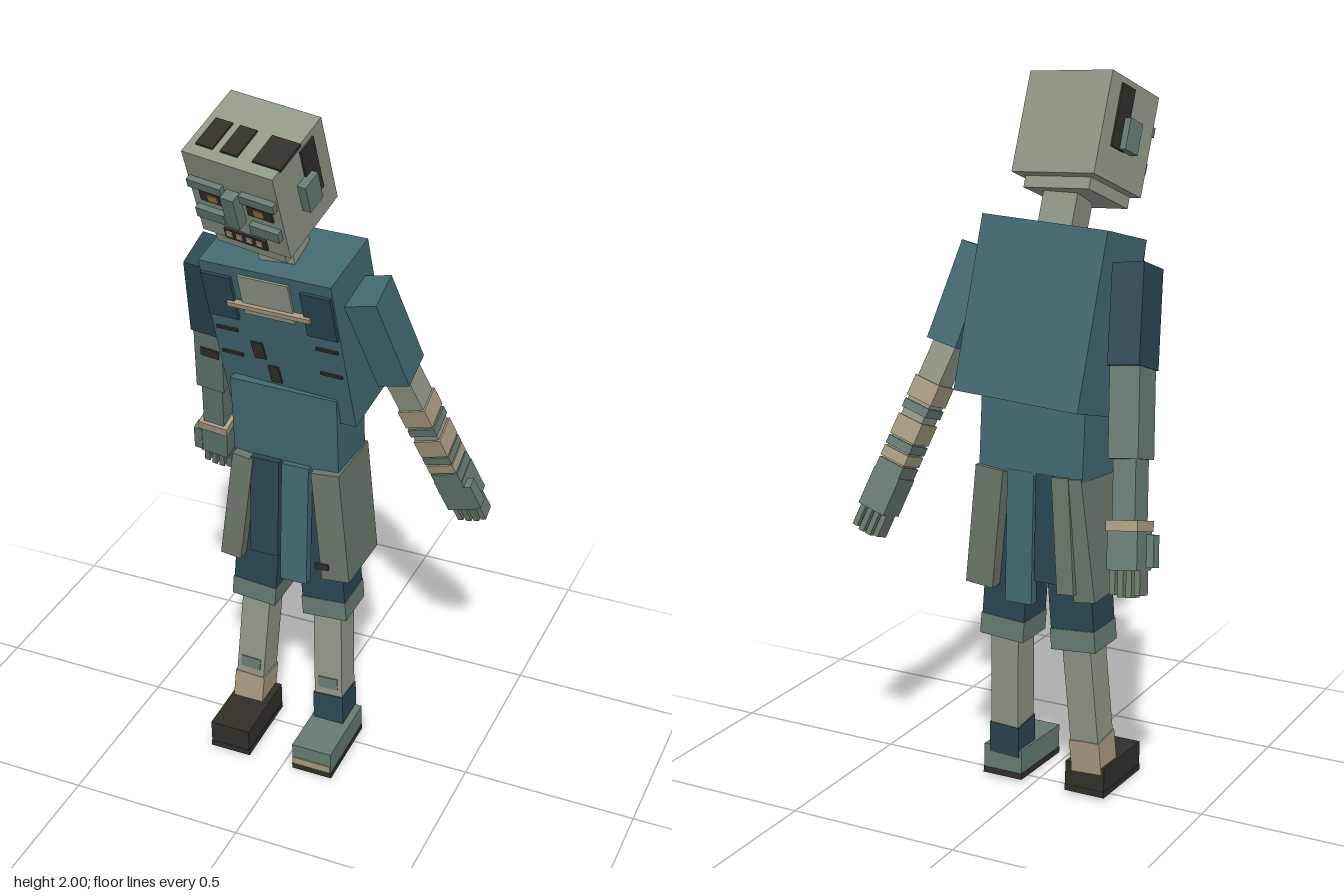
import * as THREE from 'three';

const material = (name, color) => {
  const m = new THREE.MeshStandardMaterial({ color });
  m.name = name;
  return m;
};
const skin = material('pale skin', 0x8f9787);
const teal = material('teal cloth', 0x41686f);
const dark = material('dark teal cloth', 0x294650);
const grey = material('grey green', 0x667a72);
const cloth = material('worn cloth', 0x6a7669);
const beige = material('beige wrap', 0xa89a80);
const black = material('near black', 0x302e27);
const amber = material('amber', 0x9a7440);

function box(parent, name, mat, size, pos, rot = [0, 0, 0]) {
  const mesh = new THREE.Mesh(new THREE.BoxGeometry(...size), mat);
  mesh.name = name;
  mesh.position.set(...pos);
  mesh.rotation.set(...rot);
  parent.add(mesh);
  return mesh;
}

// Posed group: pitch, yaw and roll in radians
function posed(parent, name, pos, pitch, yaw, roll) {
  const g = new THREE.Group();
  g.name = name;
  g.position.set(...pos);
  g.rotation.set(pitch, yaw, roll, 'YXZ');
  parent.add(g);
  return g;
}

// Group at a joint whose -y axis runs toward the next joint
function limb(parent, name, from, to) {
  const a = new THREE.Vector3(...from);
  const dir = new THREE.Vector3(...to).sub(a);
  const g = new THREE.Group();
  g.name = name;
  g.position.copy(a);
  g.userData.length = dir.length();
  g.quaternion.setFromUnitVectors(new THREE.Vector3(0, -1, 0), dir.normalize());
  parent.add(g);
  return g;
}

// Box filling a limb from distance a to b along it
const segment = (g, name, mat, w, d, a, b) =>
  box(g, name, mat, [w, b - a, d], [0, -(a + b) / 2, 0]);

function addHead(model) {
  const head = posed(model, 'head', [-0.072, 1.821, 0.123], 0.4, -0.175, -0.07);
  box(head, 'skull', skin, [0.264, 0.276, 0.23], [0, 0, 0]);
  box(head, 'jaw', skin, [0.21, 0.04, 0.19], [0.005, -0.15, 0.015]);
  box(head, 'nose', grey, [0.038, 0.1, 0.034], [0, 0, 0.13]);
  for (const s of [-1, 1]) {
    box(head, 'brow', grey, [0.1, 0.026, 0.02], [s * 0.077, 0.046, 0.122]);
    box(head, 'eyeSocket', black, [0.074, 0.033, 0.008], [s * 0.07, 0, 0.116]);
    box(head, 'eye', amber, [0.03, 0.022, 0.008], [s * 0.068, 0, 0.119]);
    box(head, 'cheek', grey, [0.085, 0.032, 0.02], [s * 0.08, -0.055, 0.122]);
    box(head, 'ear', grey, [0.028, 0.085, 0.06], [s * 0.142, -0.005, 0]);
    box(head, 'sideHair', black, [0.009, 0.17, 0.06], [s * 0.133, 0.035, -0.035]);
  }
  box(head, 'mouth', black, [0.125, 0.034, 0.009], [0.005, -0.115, 0.117]);
  for (let i = 0; i < 4; i++)
    box(head, 'tooth', beige, [0.018, 0.018, 0.008], [-0.042 + i * 0.03, -0.113, 0.121]);
  // Hair tufts on the crown
  [[-0.085, 0.05], [-0.013, 0.05], [0.08, 0.05], [0.114, 0.045]].forEach(([x, w]) =>
    box(head, 'hairTuft', black, [w, 0.009, 0.095], [x, 0.139, 0.035]));
  const neck = limb(model, 'neck', [-0.055, 1.71, 0.075], [-0.04, 1.54, 0.035]);
  segment(neck, 'neckBlock', skin, 0.1, 0.1, 0, 0.17);
}

function addTorso(model) {
  const chest = posed(model, 'chest', [-0.038, 1.355, -0.017], 0.26, -0.087, 0.03);
  box(chest, 'shirt', teal, [0.39, 0.477, 0.21], [0, 0, 0]);
  box(chest, 'neckOpening', skin, [0.15, 0.125, 0.009], [-0.005, 0.155, 0.107]);
  box(chest, 'chestStrap', beige, [0.245, 0.014, 0.02], [0, 0.122, 0.112]);
  for (const s of [-1, 1]) {
    box(chest, 'shoulderPatch', dark, [0.088, 0.14, 0.016], [s * 0.147, 0.135, 0.106]);
    for (const y of [0.02, -0.065])
      box(chest, 'shirtTear', black, [0.065, 0.009, 0.008], [s * 0.15, y, 0.106]);
  }
  box(chest, 'shirtHole', black, [0.035, 0.055, 0.008], [-0.065, -0.035, 0.106], [0, 0, 0.06]);
  box(chest, 'shirtHole', black, [0.032, 0.055, 0.008], [-0.028, -0.11, 0.106], [0, 0, 0.06]);
  const waist = posed(model, 'waist', [-0.042, 1.062, -0.035], 0.08, -0.03, 0);
  box(waist, 'waistBlock', teal, [0.315, 0.255, 0.175], [0, 0, 0]);
}

function addSkirt(model) {
  box(model, 'rightSkirtPanel', cloth, [0.062, 0.34, 0.21], [-0.185, 0.78, -0.035], [0, 0, -0.127]);
  box(model, 'leftSkirtPanel', cloth, [0.083, 0.34, 0.21], [0.098, 0.78, -0.035], [0, 0, 0.1]);
  box(model, 'panelTear', black, [0.04, 0.018, 0.008], [0.075, 0.65, 0.072], [0, 0, 0.1]);
  // Hanging flaps front and back
  for (const s of [1, -1]) {
    const z = -0.035 + s * 0.09;
    box(model, 'darkFlap', dark, [0.085, 0.3, 0.03], [-0.1, 0.8, z], [-s * 0.04, 0, 0]);
    box(model, 'tealFlap', teal, [0.08, 0.37, 0.03], [-0.01, 0.765, z], [-s * 0.04, 0, 0]);
  }
  box(model, 'backStrip', cloth, [0.05, 0.32, 0.02], [-0.145, 0.79, -0.14], [0.05, 0, -0.08]);
}

function addLeg(model, side, hip, knee, ankle, sock, boot) {
  const thigh = limb(model, side + 'Thigh', hip, knee);
  const n = thigh.userData.length;
  segment(thigh, 'shorts', dark, 0.13, 0.13, 0, n - 0.06);
  segment(thigh, 'shortsCuff', grey, 0.134, 0.135, n - 0.06, n);
  const shin = limb(model, side + 'Shin', knee, ankle);
  const m = shin.userData.length;
  segment(shin, 'shinBlock', skin, 0.085, 0.095, -0.03, m);
  segment(shin, 'ankleWrap', sock, 0.092, 0.1, m - 0.085, m + 0.01);
  box(shin, 'shinPatch', grey, [0.06, 0.035, 0.008], [0, -m + 0.125, 0.047]);
  const foot = posed(model, side + 'Boot', [ankle[0] + 0.006, 0.049, 0.065], 0.04, 0, 0);
  box(foot, 'bootBlock', boot, [0.12, 0.07, 0.235], [0, 0.008, 0]);
  box(foot, 'sole', black, [0.122, 0.018, 0.237], [0, -0.035, 0]);
  if (boot === grey) box(foot, 'toeStripe', beige, [0.116, 0.022, 0.008], [0, -0.012, 0.117]);
}

function addHand(arm, start, s) {
  const hand = new THREE.Group();
  hand.name = 'hand';
  hand.position.y = -start;
  arm.add(hand);
  box(hand, 'palm', grey, [0.085, 0.11, 0.09], [0, -0.055, 0]);
  for (let i = 0; i < 4; i++)
    box(hand, 'finger', cloth, [0.016, 0.085 - 0.012 * Math.abs(i - 1.5), 0.05],
      [-0.035 + i * 0.0235, -0.14, 0]);
  box(hand, 'thumb', grey, [0.025, 0.085, 0.035], [s * 0.05, -0.06, 0.03]);
}

function addArms(model) {
  const leftElbow = [0.25, 1.25, -0.045], rightElbow = [-0.322, 1.26, -0.1];
  const leftUpper = limb(model, 'leftUpperArm', [0.185, 1.51, 0.038], leftElbow);
  segment(leftUpper, 'leftSleeve', teal, 0.092, 0.12, 0, leftUpper.userData.length);
  const rightUpper = limb(model, 'rightUpperArm', [-0.292, 1.51, -0.012], rightElbow);
  segment(rightUpper, 'rightSleeve', dark, 0.09, 0.122, 0, rightUpper.userData.length);

  // Bandaged left forearm
  const left = limb(model, 'leftForearm', leftElbow, [0.365, 0.9, -0.165]);
  segment(left, 'forearmBlock', skin, 0.07, 0.08, -0.02, 0.39);
  [[0.11, 0.17, beige], [0.18, 0.205, grey], [0.225, 0.285, beige], [0.29, 0.315, grey],
    [0.32, 0.35, beige], [0.355, 0.39, grey]].forEach(([a, b, mat]) =>
    segment(left, 'armWrap', mat, 0.08, 0.09, a, b));
  addHand(left, left.userData.length, 1);

  // Right forearm with bracelet
  const right = limb(model, 'rightForearm', rightElbow, [-0.372, 0.87, -0.215]);
  const n = right.userData.length;
  segment(right, 'forearmBlock', grey, 0.085, 0.1, -0.02, 0.235);
  segment(right, 'lowerForearm', grey, 0.064, 0.08, 0.235, n);
  box(right, 'sleevePatch', black, [0.055, 0.03, 0.008], [0.005, -0.085, 0.05]);
  segment(right, 'bracelet', beige, 0.09, 0.1, n - 0.018, n + 0.01);
  addHand(right, n, -1);
}

export function createModel() {
  const model = new THREE.Group();
  model.name = 'blockyGhoul';
  addHead(model);
  addTorso(model);
  addSkirt(model);
  addArms(model);
  addLeg(model, 'right', [-0.115, 0.96, -0.03], [-0.155, 0.45, -0.035], [-0.173, 0.09, -0.005], beige, black);
  addLeg(model, 'left', [0.03, 0.96, -0.03], [0.067, 0.45, -0.035], [0.086, 0.09, -0.005], dark, grey);
  return model;
}
